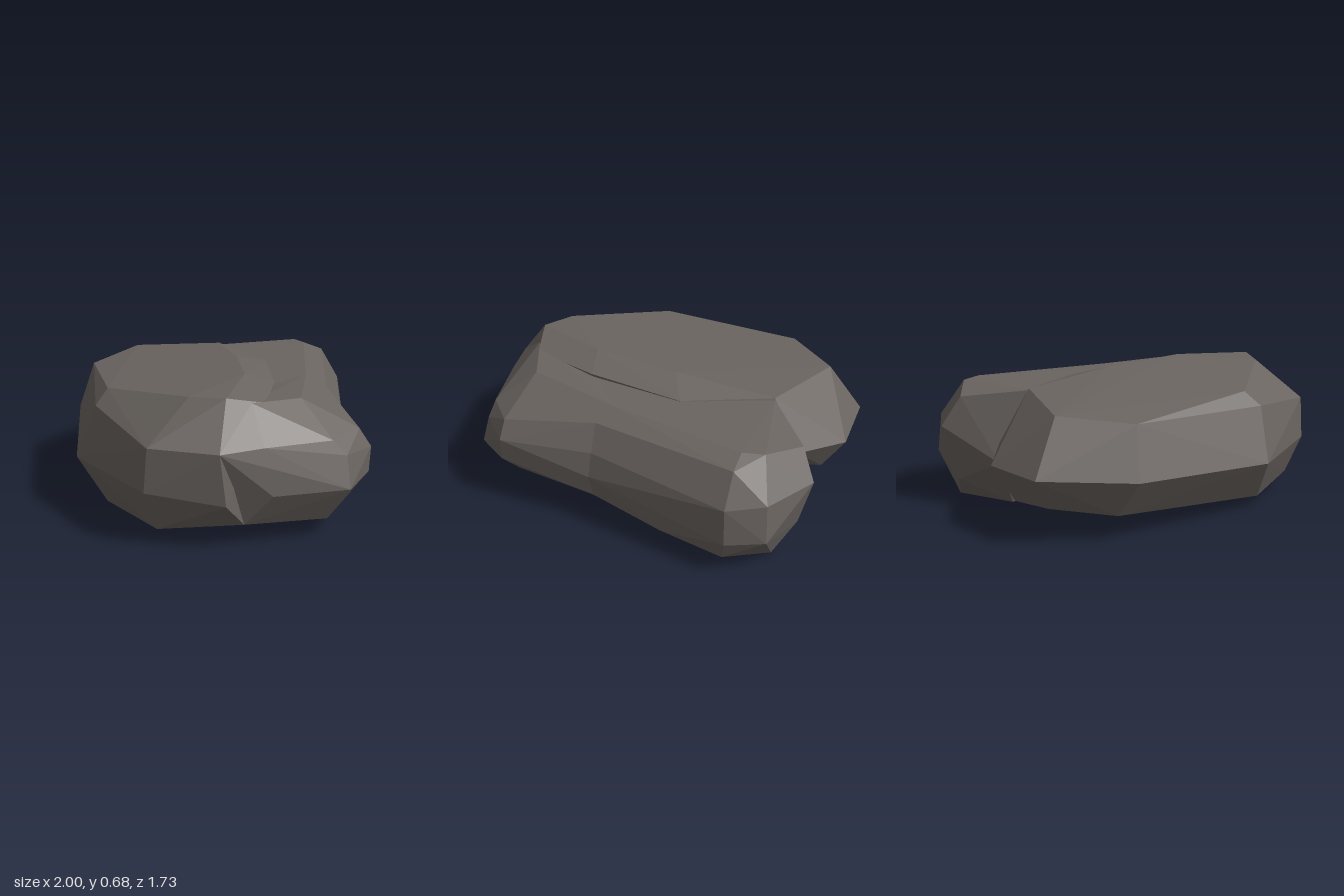
import * as THREE from 'three';
import { ConvexGeometry } from 'three/addons/geometries/ConvexGeometry.js';

const stone = new THREE.MeshStandardMaterial({ color: 0x6a6460 });
stone.name = 'warm grey stone';

// A faceted boulder: the convex shell around a few corner points
function boulder(name, levels) {
  const corners = Object.values(levels).flat().map((p) => new THREE.Vector3(...p));
  const mesh = new THREE.Mesh(new ConvexGeometry(corners), stone);
  mesh.name = name;
  return mesh;
}

export function createModel() {
  const group = new THREE.Group();
  group.name = 'rockCluster';

  // Broad slab with a flat, gently rising top and a bevelled back edge
  group.add(boulder('frontBoulder', {
    top: [
      [-0.82, 0.58, 0.07], [-0.47, 0.615, -0.25], [0, 0.66, -0.03], [0.38, 0.68, 0.2],
      [0.65, 0.67, 0.5], [0.5, 0.66, 0.6], [-0.04, 0.6, 0.71], [-0.7, 0.55, 0.42],
    ],
    bevel: [[0, 0.61, -0.22], [0.42, 0.625, 0.05], [0.69, 0.625, 0.3]],
    girdle: [
      [-1, 0.32, 0.06], [-0.85, 0.32, -0.25], [-0.58, 0.35, -0.36], [-0.78, 0.3, 0.47],
      [-0.02, 0.53, 0.79], [-0.1, 0.265, 0.86], [0.53, 0.47, 0.845], [0.52, 0.26, 0.86],
      [0.77, 0.46, 0.62], [0.79, 0.22, 0.6],
    ],
    base: [
      [-0.88, 0.16, 0.06], [-0.75, 0.13, -0.18], [-0.75, 0.125, 0.35],
      [0.03, 0.055, 0.77], [0.5, 0.065, 0.78], [0.76, 0.1, 0.48], [0.3, 0.07, 0.1],
    ],
  }));

  // Corners where the back and side stones meet
  const seam = [
    [0.33, 0.605, -0.22], [0.42, 0.55, -0.28], [0.45, 0.42, -0.35], [0.47, 0.29, -0.37], [0.45, 0.18, -0.37],
  ];

  // Slightly lower stone sticking out behind the slab
  group.add(boulder('backBoulder', {
    seam,
    top: [
      [-0.55, 0.56, -0.59], [-0.35, 0.6, -0.69], [-0.24, 0.605, -0.67], [-0.19, 0.565, -0.76],
      [-0.47, 0.605, -0.25], [0.4, 0.61, 0.05],
    ],
    girdle: [
      [-0.59, 0.41, -0.68], [-0.34, 0.41, -0.84], [-0.34, 0.21, -0.865], [-0.14, 0.4, -0.84],
      [-0.14, 0.2, -0.845], [-0.58, 0.25, -0.36],
    ],
    base: [
      [-0.42, 0.005, -0.38], [-0.4, 0.01, -0.7], [-0.15, 0, -0.4], [-0.14, 0.09, -0.8],
      [0.14, 0.13, -0.62], [-0.54, 0.13, -0.62], [0.15, 0.05, -0.15], [0.4, 0.08, 0.05],
    ],
  }));

  // Stone filling the left flank
  group.add(boulder('sideBoulder', {
    seam,
    top: [[0.4, 0.61, 0.05], [0.7, 0.62, 0.11], [0.68, 0.635, 0.38]],
    shoulder: [[0.87, 0.48, -0.1], [0.92, 0.47, 0.1], [0.83, 0.47, 0.42], [0.77, 0.46, 0.62]],
    girdle: [
      [0.53, 0.3, -0.33], [0.9, 0.39, -0.15], [0.9, 0.27, -0.14], [0.96, 0.4, 0.05],
      [1, 0.25, 0.06], [0.87, 0.25, 0.4],
    ],
    base: [[0.82, 0.16, -0.08], [0.89, 0.085, 0.1], [0.76, 0.1, 0.48], [0.4, 0.08, 0.05]],
  }));

  return group;
}
